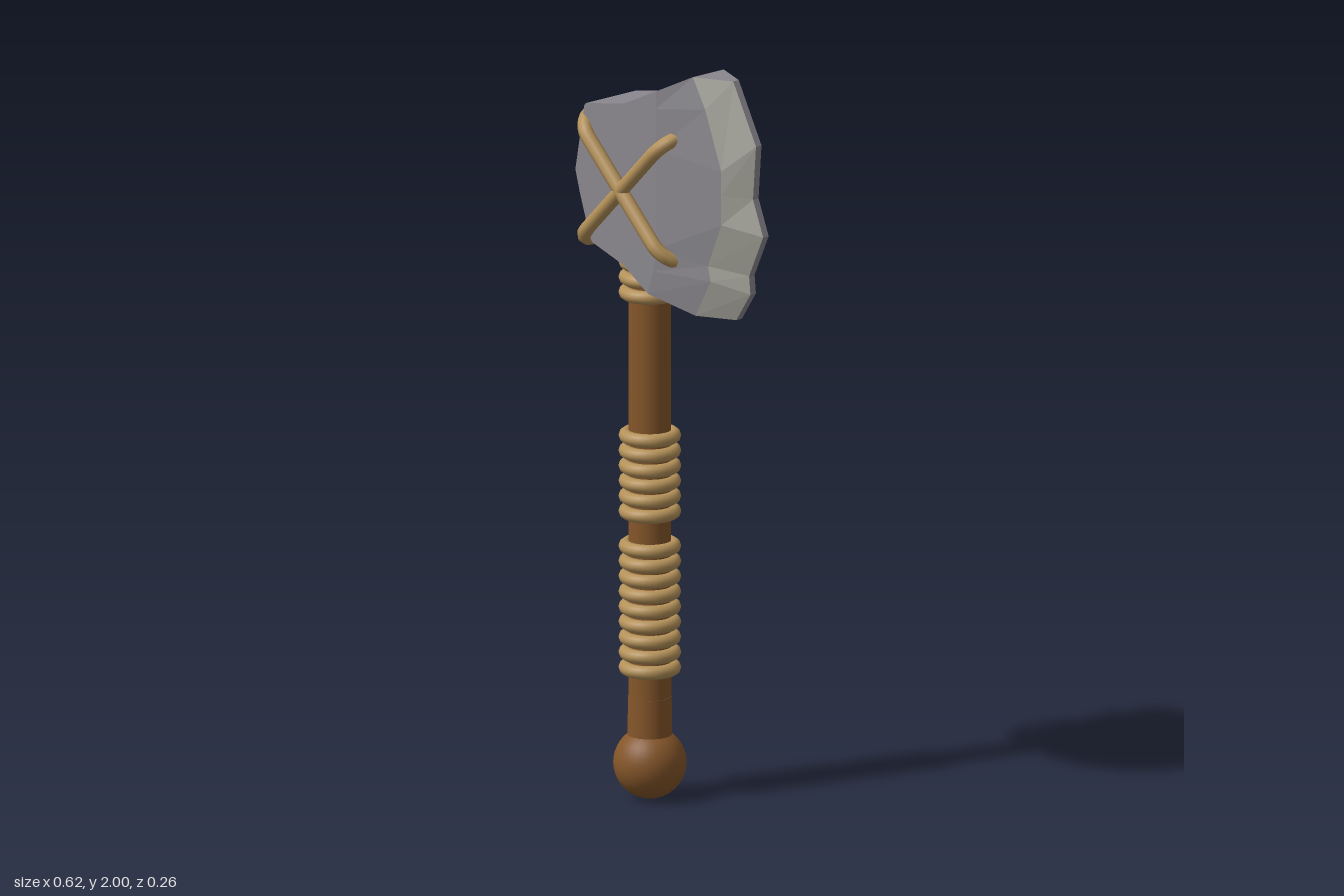
import * as THREE from 'three';

const material = (name, color) => {
  const m = new THREE.MeshStandardMaterial({ color });
  m.name = name;
  return m;
};

const AXIS = -0.127; // x of the handle axis

// Knapped stone: rows run bottom to top, columns run from the butt to the cutting edge
const ROWS = [
  [[-0.25, 1.495], [-0.13, 1.455], [-0.04, 1.395], [0.103, 1.357], [0.209, 1.357]],
  [[-0.265, 1.53], [-0.13, 1.5], [-0.02, 1.46], [0.16, 1.46], [0.262, 1.436]],
  [[-0.275, 1.56], [-0.13, 1.55], [-0.01, 1.52], [0.15, 1.5], [0.257, 1.485]],
  [[-0.295, 1.62], [-0.13, 1.62], [-0.01, 1.61], [0.2, 1.62], [0.31, 1.6]],
  [[-0.312, 1.68], [-0.13, 1.69], [-0.01, 1.69], [0.2, 1.7], [0.272, 1.695]],
  [[-0.295, 1.77], [-0.13, 1.78], [-0.01, 1.79], [0.2, 1.765], [0.283, 1.84]],
  [[-0.278, 1.86], [-0.13, 1.88], [-0.01, 1.9], [0.14, 1.92], [0.198, 1.999]],
  [[-0.272, 1.866], [-0.13, 1.892], [-0.01, 1.948], [0.093, 2], [0.198, 2]],
];
const HALF_DEPTH = [0.092, 0.092, 0.091, 0.056, 0.01];

function stoneGeometry(firstCol, lastCol, withRim) {
  const out = [];
  const at = (i, j, side) => [...ROWS[i][j], side * HALF_DEPTH[j]];
  const quad = (a, b, c, d) => out.push(...a, ...b, ...c, ...a, ...c, ...d);
  const top = ROWS.length - 1;
  for (let i = 0; i < top; i++) {
    for (let j = firstCol; j < lastCol; j++) {
      quad(at(i, j, 1), at(i, j + 1, 1), at(i + 1, j + 1, 1), at(i + 1, j, 1));
      quad(at(i, j, -1), at(i + 1, j, -1), at(i + 1, j + 1, -1), at(i, j + 1, -1));
    }
  }
  if (withRim) {
    // Join front and back all the way round the outline
    const loop = [];
    for (let j = 0; j < 4; j++) loop.push([0, j]);
    for (let i = 0; i < top; i++) loop.push([i, 4]);
    for (let j = 4; j > 0; j--) loop.push([top, j]);
    for (let i = top; i > 0; i--) loop.push([i, 0]);
    loop.forEach((p, k) => {
      const q = loop[(k + 1) % loop.length];
      quad(at(...p, 1), at(...p, -1), at(...q, -1), at(...q, 1));
    });
  }
  const g = new THREE.BufferGeometry();
  g.setAttribute('position', new THREE.Float32BufferAttribute(out, 3));
  g.computeVertexNormals();
  return g;
}

// Rounded rectangular rope loop, lying in the xz plane
function lashingGeometry() {
  const w = 0.24, d = 0.108, r = 0.07;
  const shape = new THREE.Shape();
  shape.moveTo(0, -d);
  shape.lineTo(w - r, -d);
  shape.absarc(w - r, -d + r, r, -Math.PI / 2, 0);
  shape.absarc(w - r, d - r, r, 0, Math.PI / 2);
  shape.absarc(-w + r, d - r, r, Math.PI / 2, Math.PI);
  shape.absarc(-w + r, -d + r, r, Math.PI, Math.PI * 1.5);
  shape.lineTo(0, -d);
  const points = shape.getSpacedPoints(64).slice(0, -1).map((p) => new THREE.Vector3(p.x, 0, p.y));
  return new THREE.TubeGeometry(new THREE.CatmullRomCurve3(points, true), 80, 0.02, 8, true);
}

export function createModel() {
  const group = new THREE.Group();
  const wood = material('wood', 0x85562a);
  const rope = material('rope', 0xb5925a);
  const stone = material('stone', 0x8a888e);
  const ground = material('sharpened stone', 0xa5a49b);

  const add = (name, geometry, mat, x = 0, y = 0, z = 0) => {
    const mesh = new THREE.Mesh(geometry, mat);
    mesh.name = name;
    mesh.position.set(x, y, z);
    group.add(mesh);
    return mesh;
  };

  // Handle and pommel
  add('handle', new THREE.CylinderGeometry(0.055, 0.056, 1.36, 24), wood, AXIS, 0.82);
  add('handleFoot', new THREE.CylinderGeometry(0.057, 0.059, 0.14, 24), wood, AXIS, 0.205);
  add('pommel', new THREE.SphereGeometry(0.096, 32, 20), wood, AXIS, 0.096);

  // Rope windings: first ring height and number of rings
  const ring = new THREE.TorusGeometry(0.064, 0.018, 10, 32).rotateX(Math.PI / 2);
  for (const [name, y, count] of [['lowerGrip', 0.353, 9], ['upperGrip', 0.775, 6], ['neckBinding', 1.367, 4]]) {
    for (let i = 0; i < count; i++) add(name + 'Ring', ring, rope, AXIS, y + i * 0.041);
  }

  // Stone head and its sharpened bevel
  add('stoneHead', stoneGeometry(0, 3, true), stone);
  add('cuttingEdge', stoneGeometry(3, 4, false), ground);

  // Crossed lashings round the head
  const lashing = lashingGeometry();
  for (const s of [1, -1]) add('lashing', lashing, rope, -0.125, 1.66).rotation.z = s * Math.PI / 4;

  return group;
}
